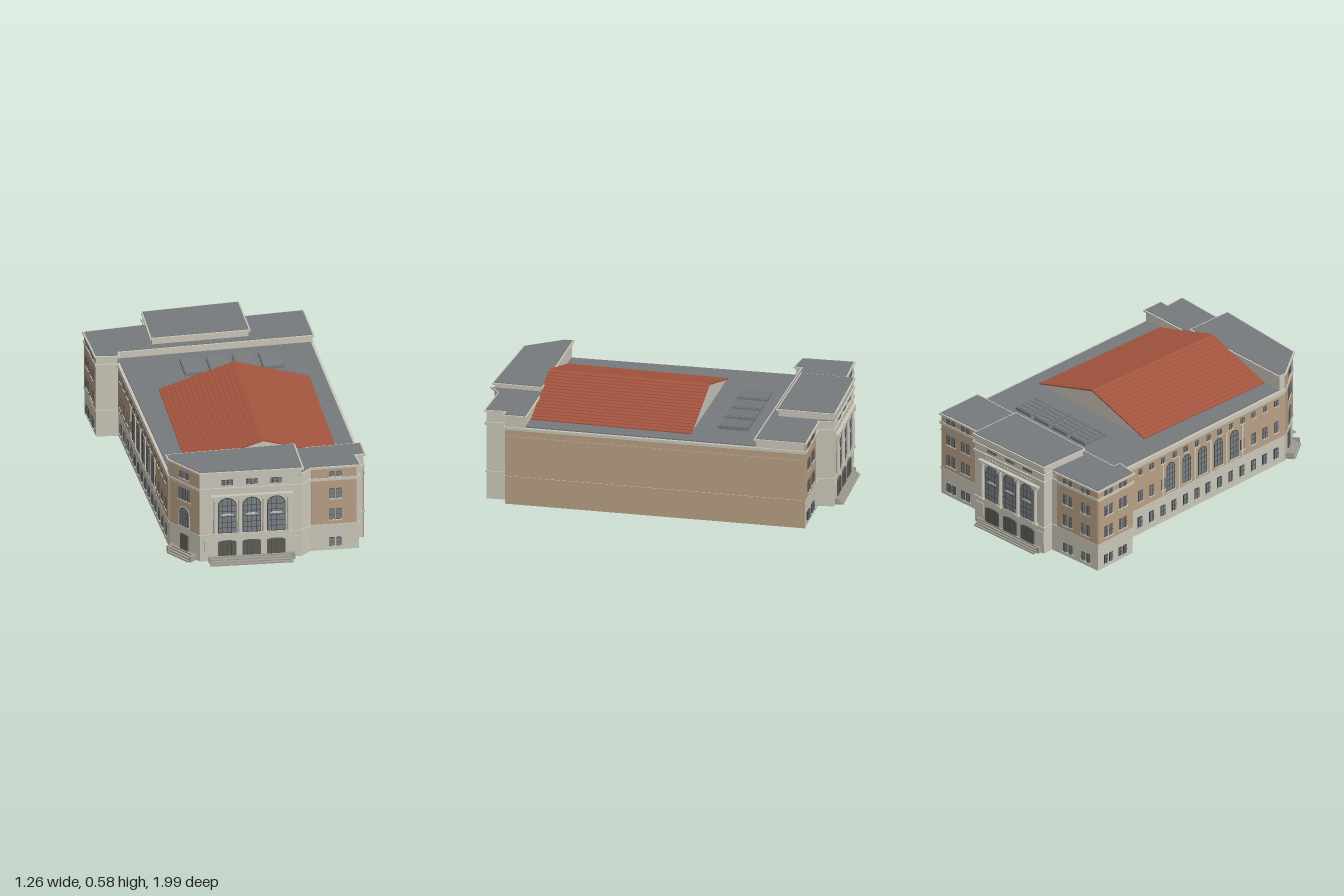
import * as THREE from 'three';

const mat = (name, color, side = THREE.FrontSide) => {
  const m = new THREE.MeshStandardMaterial({ color, side });
  m.name = name;
  return m;
};
const stone = mat('limestone', 0xcbc7ba);
const brick = mat('tanBrick', 0xb9a186);
const slate = mat('greyRoof', 0x767b7e);
const tile = mat('redTile', 0xa5553f);
const glass = mat('windowGlass', 0x7a8185);
const dark = mat('darkFrame', 0x44464a);
const doorMat = mat('doorShade', 0x5d5e57);
const stepMat = mat('stepStone', 0xa29e95);

// Plan outline as [x, z], starting at the front left of the plan, front to right to back
const P = [[-0.3, 0.9], [0.25, 0.935], [0.305, 0.89], [0.57, 0.9], [0.56, 0.785], [0.615, 0.785],
  [0.577, -0.87], [0.245, -0.86], [0.235, -0.945], [-0.285, -0.925], [-0.28, -0.86],
  [-0.62, -0.84], [-0.605, -0.57], [-0.485, -0.555], [-0.435, 0.715]];

// Moves every edge of an outline outward by d, with mitred corners
function offset(poly, d) {
  const n = poly.length;
  const normal = (a, b) => {
    const l = Math.hypot(b[0] - a[0], b[1] - a[1]);
    return [-(b[1] - a[1]) / l, (b[0] - a[0]) / l];
  };
  return poly.map((p, i) => {
    const m = normal(poly[(i + n - 1) % n], p), k = normal(p, poly[(i + 1) % n]);
    const f = d / Math.max(0.3, 1 + m[0] * k[0] + m[1] * k[1]);
    return [p[0] + (m[0] + k[0]) * f, p[1] + (m[1] + k[1]) * f];
  });
}

function prism(parent, name, poly, y0, y1, m, grow = 0) {
  const pts = (grow ? offset(poly, grow) : poly).map(([x, z]) => new THREE.Vector2(x, -z));
  const g = new THREE.ExtrudeGeometry(new THREE.Shape(pts), { depth: y1 - y0, bevelEnabled: false });
  g.rotateX(-Math.PI / 2).translate(0, y0, 0);
  const mesh = new THREE.Mesh(g, m);
  mesh.name = name;
  parent.add(mesh);
}

// Box given by its lower limits and upper limits
function box(parent, name, x0, x1, y0, y1, z0, z1, m) {
  const mesh = new THREE.Mesh(new THREE.BoxGeometry(x1 - x0, y1 - y0, z1 - z0), m);
  mesh.position.set((x0 + x1) / 2, (y0 + y1) / 2, (z0 + z1) / 2);
  mesh.name = name;
  parent.add(mesh);
  return mesh;
}

// Group on a wall: x runs along the wall, z points out of it
function facade(parent, name, i) {
  const a = P[i], b = P[(i + 1) % P.length], g = new THREE.Group();
  g.name = name;
  g.position.set(a[0], 0, a[1]);
  g.rotation.y = Math.atan2(-(b[1] - a[1]), b[0] - a[0]);
  g.userData.length = Math.hypot(b[0] - a[0], b[1] - a[1]);
  parent.add(g);
  return g;
}

function panel(parent, name, u, y, w, h, arch, depth, m) {
  const s = new THREE.Shape();
  const r = arch * w / 2;
  s.moveTo(-w / 2, 0);
  s.lineTo(w / 2, 0);
  s.lineTo(w / 2, h - r);
  if (r) s.absellipse(0, h - r, w / 2, r, 0, Math.PI, false);
  else s.lineTo(-w / 2, h);
  const mesh = new THREE.Mesh(new THREE.ExtrudeGeometry(s, { depth, bevelEnabled: false, curveSegments: 8 }), m);
  mesh.position.set(u, y, 0);
  mesh.name = name;
  parent.add(mesh);
}

// Framed window with glazing bars, sill and optional arch
function win(f, u, y, w, h, { arch = 0, nx = 2, ny = 2, sill = true } = {}) {
  const t = Math.min(0.004, w * 0.1), b = t * 0.3;
  panel(f, 'windowFrame', u, y, w, h, arch, 0.006, dark);
  panel(f, 'windowGlass', u, y + t, w - 2 * t, h - 2 * t, arch, 0.007, glass);
  for (let i = 1; i < nx; i++) {
    const x = u - w / 2 + w * i / nx, e = Math.abs(x - u) / (w / 2);
    const top = y + h - arch * w / 2 * (1 - Math.sqrt(1 - e * e)) - t;
    box(f, 'glazingBar', x - b, x + b, y, top, 0, 0.0085, dark);
  }
  for (let j = 1; j < ny; j++) {
    const yy = y + (h - arch * w / 2) * j / (arch ? ny - 1 : ny);
    box(f, 'glazingBar', u - w / 2, u + w / 2, yy - b, yy + b, 0, 0.0085, dark);
  }
  if (sill) box(f, 'windowSill', u - w / 2 - 0.004, u + w / 2 + 0.004, y - 0.006, y, 0, 0.01, stone);
}

const pair = (f, u, y, h) => [-1, 1].forEach(s => win(f, u + s * 0.019, y, 0.025, h));
const wingRows = (f, columns, top) => columns.forEach(u =>
  [[0.027, 0.05], [0.19, 0.065], [0.32, 0.06], [top, 0.03]].forEach(([y, h]) => pair(f, u, y, h)));
const brickPlate = (f, u0, u1, y0, y1) => box(f, 'brickWall', u0, u1, y0, y1, -0.004, 0.004, brick);

function steps(f, u0, u1, out, h, n = 4) {
  for (let i = 0; i < n; i++)
    box(f, 'step', u0, u1, h * i / n, h * (i + 1) / n, -0.01, out * (n - i) / n, stepMat);
}

// Entrance front: three doors, three tall arches between columns, attic windows
function portico(f, out) {
  const c = f.userData.length / 2 + 0.005, pitch = 0.133;
  for (let i = -1; i <= 1; i++) {
    const u = c + i * pitch;
    panel(f, 'doorway', u, 0.03, 0.1, 0.092, 0.25, 0.006, doorMat);
    for (let k = -1; k <= 1; k++) box(f, 'doorBar', u + k * 0.025 - 0.001, u + k * 0.025 + 0.001, 0.03, 0.11, 0, 0.008, dark);
    panel(f, 'archSurround', u, 0.166, 0.112, 0.224, 0.95, 0.004, stone);
    win(f, u, 0.17, 0.1, 0.214, { arch: 0.95, nx: 4, ny: 6 });
    panel(f, 'transomHood', u, 0.278, 0.064, 0.012, 0.3, 0.0095, stone);
    for (let k = -1; k <= 1; k++) win(f, u + k * 0.022, 0.464, 0.018, 0.03, { sill: false });
  }
  for (let i = -1.5; i <= 1.5; i++) {
    const u = c + i * pitch;
    const shaft = new THREE.Mesh(new THREE.CylinderGeometry(0.009, 0.011, 0.21, 12), stone);
    shaft.position.set(u, 0.275, 0.01);
    shaft.name = 'columnShaft';
    f.add(shaft);
    box(f, 'columnBase', u - 0.014, u + 0.014, 0.163, 0.173, 0, 0.024, stone);
    box(f, 'columnCapital', u - 0.015, u + 0.015, 0.378, 0.394, 0, 0.024, stone);
  }
  box(f, 'architrave', c - 0.225, c + 0.225, 0.394, 0.404, 0, 0.022, stone);
  for (let i = -8; i <= 8; i++) {
    const d = box(f, 'friezeOrnament', -0.004, 0.004, -0.004, 0.004, 0, 0.005, stone);
    d.position.set(c + i * 0.022, 0.418, 0.003);
    d.rotation.z = Math.PI / 4;
  }
  // raised panels beside the doors
  [-1, 1].forEach(s => box(f, 'wallPanel', c + s * 0.228 - 0.027, c + s * 0.228 + 0.027, 0.055, 0.13, 0, 0.004, stone));
  steps(f, c - 0.23, c + 0.22, out, 0.03);
  [c - 0.235, c + 0.22].forEach(u => box(f, 'stepCheek', u, u + 0.014, 0, 0.034, 0, out * 0.45, stepMat));
}

export function createModel() {
  const model = new THREE.Group();
  model.name = 'hallBuilding';

  // Main body, string course and lower cornice
  prism(model, 'mainBody', P, 0, 0.44, stone);
  prism(model, 'stringCourse', P, 0.153, 0.162, stone, 0.006);
  prism(model, 'lowerCornice', P, 0.43, 0.446, stone, 0.008);
  prism(model, 'mainRoof', P, 0.44, 0.452, slate, -0.008);

  // Taller blocks at the front and back, each with cornice and flat roof
  const blocks = [
    ['frontBlock', [[-0.437, 0.675], P[14], P[0], P[1], [0.25, 0.675]], 0.545],
    ['frontWing', [[0.25, 0.675], P[1], P[2], P[3], P[4], P[5], [0.613, 0.675]], 0.515],
    ['backBlock', [[0.583, -0.6], ...P.slice(6, 13), [-0.49, -0.556], [-0.487, -0.6]], 0.495],
    ['backRaisedRoof', [[0.24, -0.64], P[8], P[9], [-0.288, -0.64]], 0.54],
  ];
  for (const [name, poly, top] of blocks) {
    prism(model, name, poly, 0.43, top - 0.006, stone);
    prism(model, name + 'Cornice', poly, top - 0.01, top, stone, 0.011);
    prism(model, name + 'Roof', poly, top - 0.005, top + 0.003, slate, 0.002);
  }

  // Gabled tile roof with stepped courses
  const rows = 16, ridge = [0.087, 0.583], half = 0.412, rise = 0.13;
  const gable = [[-0.325, 0.45], [0.499, 0.45], ridge].map(p => new THREE.Vector2(...p));
  const gableGeo = new THREE.ExtrudeGeometry(new THREE.Shape(gable), { depth: 0.88, bevelEnabled: false });
  const gableMesh = new THREE.Mesh(gableGeo.translate(0, 0, -0.215), stone);
  gableMesh.name = 'gableWalls';
  model.add(gableMesh);
  const course = [];
  for (let i = 0; i < rows; i++) {
    const y = k => ridge[1] - rise * k / rows;
    course.push([half * i / rows, y(i) + 0.002], [half * (i + 1) / rows, y(i + 1) + 0.005]);
  }
  for (const s of [-1, 1]) {
    const pts = [...course, [half, 0.45], [0, 0.578]].map(([x, y]) => new THREE.Vector2(ridge[0] + s * x, y));
    const g = new THREE.ExtrudeGeometry(new THREE.Shape(pts), { depth: 0.89, bevelEnabled: false });
    const mesh = new THREE.Mesh(g.translate(0, 0, -0.22), tile);
    mesh.name = 'tileSlope';
    model.add(mesh);
  }

  // Louvred rooflights
  for (let i = 0; i < 4; i++) {
    const x = -0.16 + i * 0.143;
    box(model, 'rooflightFrame', x, x + 0.115, 0.45, 0.468, -0.505, -0.34, slate);
    for (let k = 0; k < 5; k++) {
      const slat = box(model, 'rooflightSlat', x + 0.005, x + 0.11, 0.468, 0.472, -0.5 + k * 0.032, -0.473 + k * 0.032, slate);
      slat.rotation.x = 0.15;
    }
  }

  // Front and back entrances
  portico(facade(model, 'frontPortico', 0), 0.065);
  portico(facade(model, 'backPortico', 8), 0.045);

  // Brick wings
  const front = facade(model, 'frontWingWall', 2);
  brickPlate(front, 0.008, 0.252, 0.162, 0.505);
  wingRows(front, [0.137], 0.455);
  const backL = facade(model, 'backLeftWall', 6);
  brickPlate(backL, 0, 0.262, 0.162, 0.485);
  wingRows(backL, [0.075, 0.185], 0.447);
  const backR = facade(model, 'backRightWall', 10);
  brickPlate(backR, 0.04, 0.34, 0.162, 0.485);
  wingRows(backR, [0.12, 0.25], 0.447);
  const end = facade(model, 'backWingEnd', 11);
  brickPlate(end, 0, end.userData.length, 0.162, 0.485);
  wingRows(end, [0.08, 0.19], 0.447);

  // Plain party wall
  const plain = facade(model, 'plainSideWall', 5), L = plain.userData.length;
  brickPlate(plain, 0, L, 0, 0.43);
  box(plain, 'wallBand', 0, L, 0.153, 0.162, 0, 0.0085, brick);
  box(plain, 'wallBand', 0, L, 0.386, 0.394, 0, 0.0085, brick);

  // Long windowed side
  const side = facade(model, 'windowedSideWall', 13), S = side.userData.length;
  brickPlate(side, 0, S, 0.162, 0.415);
  for (let i = 0; i < 14; i++) {
    const u = 0.07 + i * (S - 0.14) / 13, mid = i >= 4 && i <= 9;
    win(side, u, 0.045, 0.032, 0.06);
    win(side, u, 0.368, 0.03, 0.034);
    if (!mid) win(side, u, 0.205, 0.034, 0.065);
  }
  for (let i = 0; i < 5; i++) {
    win(side, 0.39 + i * 0.122, 0.18, 0.065, 0.17, { arch: 1, nx: 3, ny: 5 });
    [0, 1].forEach(k => box(side, 'pilaster', 0.323 + (i + k) * 0.122, 0.335 + (i + k) * 0.122, 0.165, 0.36, 0, 0.009, stone));
  }

  // Angled corner entrance
  const corner = facade(model, 'cornerEntrance', 14), m = corner.userData.length / 2;
  brickPlate(corner, 0.004, 2 * m - 0.004, 0.162, 0.535);
  [-1, 1].forEach(s => win(corner, m + s * 0.018, 0.468, 0.026, 0.04));
  [-1, 0, 1].forEach(s => win(corner, m + s * 0.031, 0.335, 0.025, 0.072, { ny: 3 }));
  panel(corner, 'archSurround', m, 0.168, 0.085, 0.128, 1, 0.0055, stone);
  win(corner, m, 0.175, 0.066, 0.113, { arch: 1, nx: 3, ny: 4 });
  panel(corner, 'cornerDoor', m, 0.03, 0.055, 0.095, 0, 0.006, doorMat);
  steps(corner, 0.035, 0.19, 0.054, 0.03);
  [0.023, 0.19].forEach(u => box(corner, 'stepCheek', u, u + 0.012, 0, 0.036, 0, 0.045, stepMat));
  return model;
}
